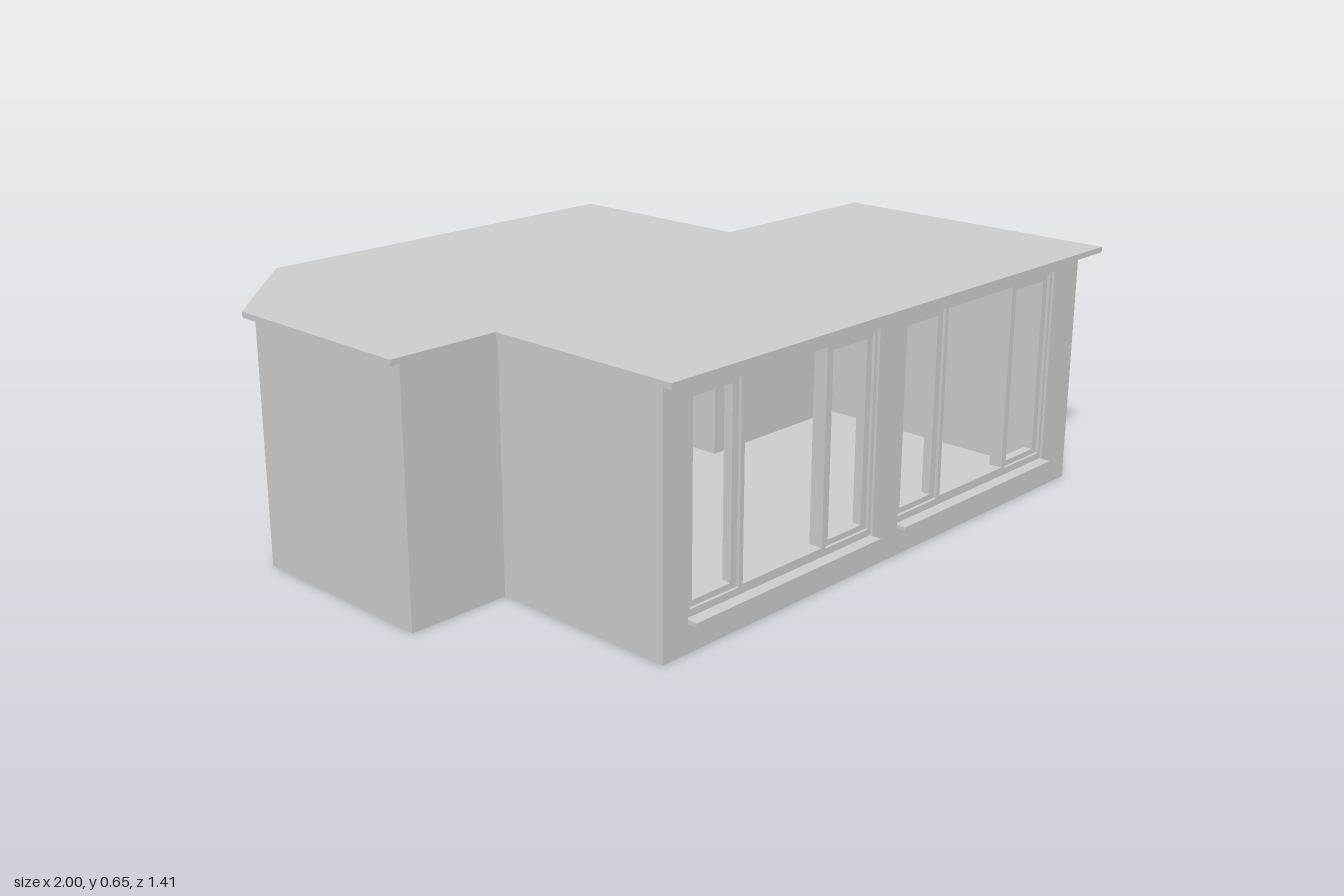
import * as THREE from 'three';

const material = new THREE.MeshStandardMaterial({ color: 0xcccccc, flatShading: true });
const thin = new THREE.MeshStandardMaterial({ color: 0xcccccc, flatShading: true, side: THREE.DoubleSide });

// plan outlines as [x, z]
const roofPlan = [[-1, -0.41], [-0.70, -0.71], [0.43, -0.71], [0.43, -0.145], [1, -0.145],
  [1, 0.705], [-0.70, 0.705], [-0.70, 0.155], [-1, 0.155]];
const wallPlan = [[-0.975, -0.395], [-0.695, -0.68], [0.385, -0.68], [0.385, -0.153], [0.93, -0.153],
  [0.93, 0.675], [-0.695, 0.675], [-0.695, 0.155], [-0.975, 0.155]];
const WALL_TOP = 0.64, FRONT = 0.675, FRONT_EDGE = 5;

const planShape = (pts) => new THREE.Shape(pts.map(([x, z]) => new THREE.Vector2(x, z)));

function rect(Type, x0, x1, y0, y1) {
  return new Type([[x0, y0], [x1, y0], [x1, y1], [x0, y1]].map(([x, y]) => new THREE.Vector2(x, y)));
}

function add(parent, name, geometry, mat = material) {
  const mesh = new THREE.Mesh(geometry, mat);
  mesh.name = name;
  parent.add(mesh);
  return mesh;
}

// rectangular ring of bars between an outer rectangle and its openings
function ring(parent, name, outer, openings, zBack, zFront) {
  const shape = rect(THREE.Shape, ...outer);
  openings.forEach((o) => shape.holes.push(rect(THREE.Path, ...o)));
  const geo = new THREE.ExtrudeGeometry(shape, { depth: zFront - zBack, bevelEnabled: false });
  return add(parent, name, geo.translate(0, 0, zBack));
}

// three-part window: fixed centre light between two casements, with a sill
function makeWindow(x) {
  const g = new THREE.Group();
  g.name = 'window';
  const lights = [[0.012, 0.177, 0.1, 0.605], [0.19, 0.475, 0.105, 0.605], [0.49, 0.655, 0.1, 0.605]];
  ring(g, 'windowFrame', [0, 0.665, 0.08, 0.615], lights, 0.63, 0.668);
  for (const i of [0, 2]) {
    const [a, b, c, d] = lights[i];
    ring(g, 'casement', lights[i], [[a + 0.017, b - 0.02, c + 0.015, d - 0.015]], 0.635, 0.66);
  }
  const sill = add(g, 'windowSill', new THREE.BoxGeometry(0.665, 0.01, 0.065));
  sill.position.set(0.3325, 0.077, 0.669);
  g.position.x = x;
  return g;
}

export function createModel() {
  const model = new THREE.Group();
  model.name = 'house';

  // flat overhanging roof
  const roof = new THREE.ExtrudeGeometry(planShape(roofPlan), { depth: 0.015, bevelEnabled: false });
  add(model, 'roof', roof.rotateX(Math.PI / 2).translate(0, 0.655, 0));

  // floor slab
  add(model, 'floor', new THREE.ShapeGeometry(planShape(wallPlan)).rotateX(Math.PI / 2), thin);

  // thin walls along every edge of the plan but the front
  const walls = new THREE.Group();
  walls.name = 'walls';
  model.add(walls);
  wallPlan.forEach(([x0, z0], i) => {
    if (i === FRONT_EDGE) return;
    const [x1, z1] = wallPlan[(i + 1) % wallPlan.length];
    const wall = add(walls, 'wall', new THREE.PlaneGeometry(Math.hypot(x1 - x0, z1 - z0), WALL_TOP), thin);
    wall.position.set((x0 + x1) / 2, WALL_TOP / 2, (z0 + z1) / 2);
    wall.rotation.y = Math.atan2(z1 - z0, -(x1 - x0));
  });

  // front wall with two window openings
  const starts = [-0.615, 0.15];
  ring(model, 'frontWall', [-0.695, 0.93, 0, WALL_TOP],
    starts.map((x) => [x, x + 0.665, 0.08, 0.615]), FRONT - 0.045, FRONT);
  starts.forEach((x) => model.add(makeWindow(x)));

  return model;
}
